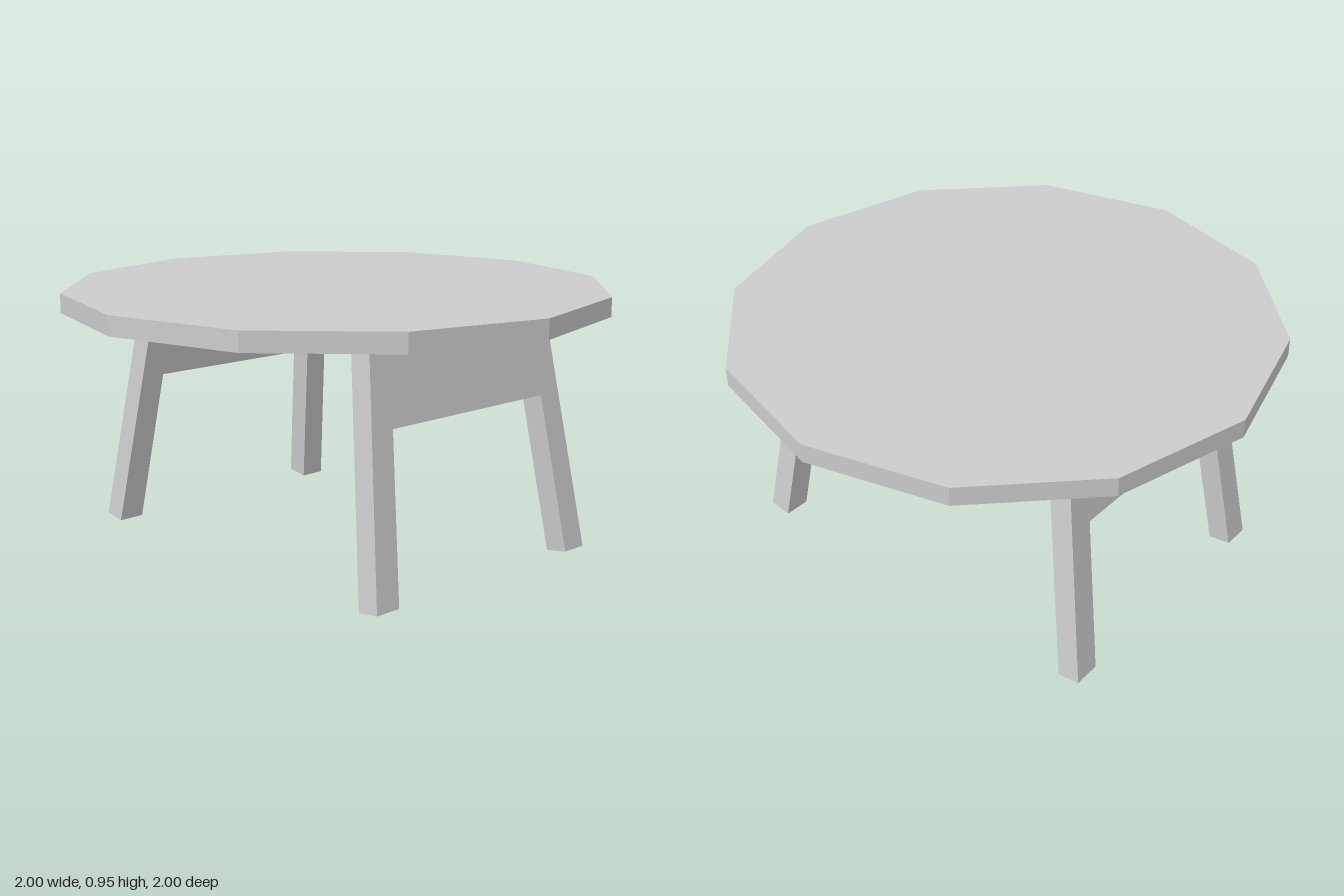
import * as THREE from 'three';

export function createModel() {
  const model = new THREE.Group();
  model.name = 'roundTable';
  const material = new THREE.MeshStandardMaterial({ color: 0xcccccc, flatShading: true });

  // Twelve-sided tabletop
  const top = new THREE.Mesh(new THREE.CylinderGeometry(1, 1, 0.07, 12), material);
  top.name = 'tabletop';
  top.position.y = 0.915;
  model.add(top);

  // Leg frame: two splayed legs joined by a deep apron, cut from one board
  const half = [[0.425, 0], [0.525, 0], [0.432, 0.9]];
  const apron = [0.37, 0.583];
  const outline = [apron, ...half, ...[...half].reverse().map(([u, v]) => [-u, v]), [-apron[0], apron[1]]];
  const shape = new THREE.Shape(outline.map(([u, v]) => new THREE.Vector2(u, v)));
  const board = new THREE.ExtrudeGeometry(shape, { depth: 0.086, bevelEnabled: false });

  // Stand the board along z, then lean its foot outwards
  board.rotateY(Math.PI / 2);
  board.rotateZ(0.158);
  board.translate(0.678, 0, 0);

  for (const [name, turn] of [['leftLegFrame', 0], ['rightLegFrame', Math.PI]]) {
    const frame = new THREE.Mesh(board, material);
    frame.name = name;
    frame.rotation.y = turn;
    model.add(frame);
  }
  return model;
}
